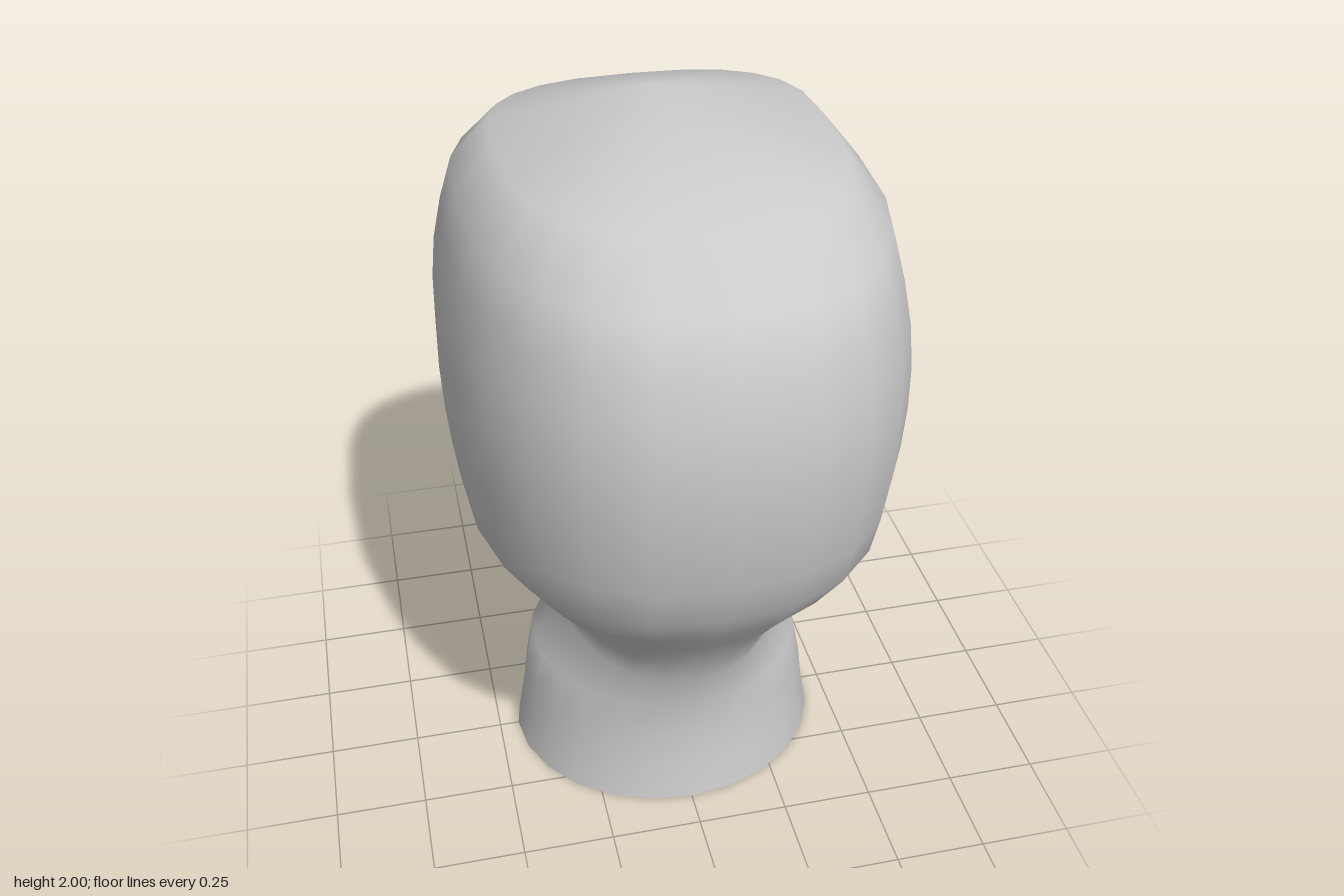
import * as THREE from 'three';

const SEGMENTS = 24;
const STEP = 2 / 17;

// One ring per level from neck to crown: half width, back z, face z, squareness exponent
const RINGS = [
  [0.445, 0.40, 0.30, 1], [0.425, 0.385, 0.28, 1], [0.41, 0.378, 0.275, 1],
  [0.385, 0.388, 0.31, 1], [0.30, 0.415, 0.49, 0.95], [0.33, 0.47, 0.62, 0.92],
  [0.41, 0.55, 0.64, 0.88], [0.485, 0.645, 0.625, 0.85], [0.55, 0.72, 0.655, 0.83],
  [0.565, 0.755, 0.63, 0.83], [0.575, 0.78, 0.615, 0.83], [0.58, 0.795, 0.645, 0.83],
  [0.577, 0.80, 0.637, 0.83], [0.565, 0.79, 0.612, 0.83], [0.54, 0.76, 0.572, 0.82],
  [0.505, 0.71, 0.51, 0.8], [0.41, 0.565, 0.37, 0.78],
];

// Extra forward push by level, for columns counted outward from the nose
const FACE = {
  5: [0.01, 0], 6: [0.03, 0.01], 7: [0.075, 0.02, 0],
  8: [0.14, 0.02, 0.05], 9: [0.07, 0, 0.01], 10: [-0.005, 0, 0],
};

function buildHead(material) {
  const points = [], faces = [];
  const power = (v, p) => Math.sign(v) * Math.abs(v) ** p;
  RINGS.forEach(([width, back, front, p], level) => {
    for (let i = 0; i < SEGMENTS; i++) {
      const a = (i / SEGMENTS) * Math.PI * 2;
      const c = Math.abs(Math.cos(a)) < 1e-6 ? 0 : Math.cos(a);
      const s = Math.abs(Math.sin(a)) < 1e-6 ? 0 : Math.sin(a);
      const column = Math.abs(i - SEGMENTS / 2);
      const push = FACE[level]?.[column] ?? 0;
      // The face is flatter than the back of the skull
      const facePower = level > 6 ? p - 0.17 : p;
      const z = c >= 0 ? back * power(c, p) : front * power(c, facePower) - push;
      points.push(width * power(s, p), level * STEP, z);
    }
  });
  for (let j = 0; j < RINGS.length - 1; j++) {
    for (let i = 0; i < SEGMENTS; i++) {
      const k = (i + 1) % SEGMENTS;
      const a = j * SEGMENTS + i, b = j * SEGMENTS + k;
      faces.push(a, b, b + SEGMENTS, a, b + SEGMENTS, a + SEGMENTS);
    }
  }
  // Pointed crown
  const apex = points.length / 3;
  points.push(0, 2, 0);
  const last = (RINGS.length - 1) * SEGMENTS;
  for (let i = 0; i < SEGMENTS; i++) faces.push(last + i, last + (i + 1) % SEGMENTS, apex);

  const geometry = new THREE.BufferGeometry();
  geometry.setAttribute('position', new THREE.Float32BufferAttribute(points, 3));
  geometry.setIndex(faces);
  geometry.computeVertexNormals();
  const mesh = new THREE.Mesh(geometry, material);
  mesh.name = 'headAndNeck';
  return mesh;
}

// Thin arched strip standing just off the face
function buildBrow(side, material) {
  const curve = new THREE.CatmullRomCurve3([
    [0.07, 1.275, -0.69], [0.12, 1.305, -0.69], [0.18, 1.318, -0.68],
    [0.25, 1.285, -0.66], [0.33, 1.205, -0.62],
  ].map(([x, y, z]) => new THREE.Vector3(x * side, y, z)));
  const points = [], faces = [], n = 10;
  for (let i = 0; i <= n; i++) {
    const t = i / n, q = curve.getPoint(t);
    const height = 0.036 * (1 - t * t) + 0.004;
    points.push(q.x, q.y, q.z, q.x, q.y - height, q.z + 0.012 * (1 - t));
    if (i < n) {
      const a = i * 2;
      if (side > 0) faces.push(a, a + 2, a + 1, a + 1, a + 2, a + 3);
      else faces.push(a, a + 1, a + 2, a + 1, a + 3, a + 2);
    }
  }
  const geometry = new THREE.BufferGeometry();
  geometry.setAttribute('position', new THREE.Float32BufferAttribute(points, 3));
  geometry.setIndex(faces);
  geometry.computeVertexNormals();
  const mesh = new THREE.Mesh(geometry, material);
  mesh.name = side > 0 ? 'leftBrow' : 'rightBrow';
  return mesh;
}

export function createModel() {
  const material = new THREE.MeshStandardMaterial({ color: 0xcccccc, side: THREE.DoubleSide });
  material.name = 'light grey';
  const group = new THREE.Group();
  group.name = 'headBust';
  group.add(buildHead(material), buildBrow(1, material), buildBrow(-1, material));
  return group;
}
